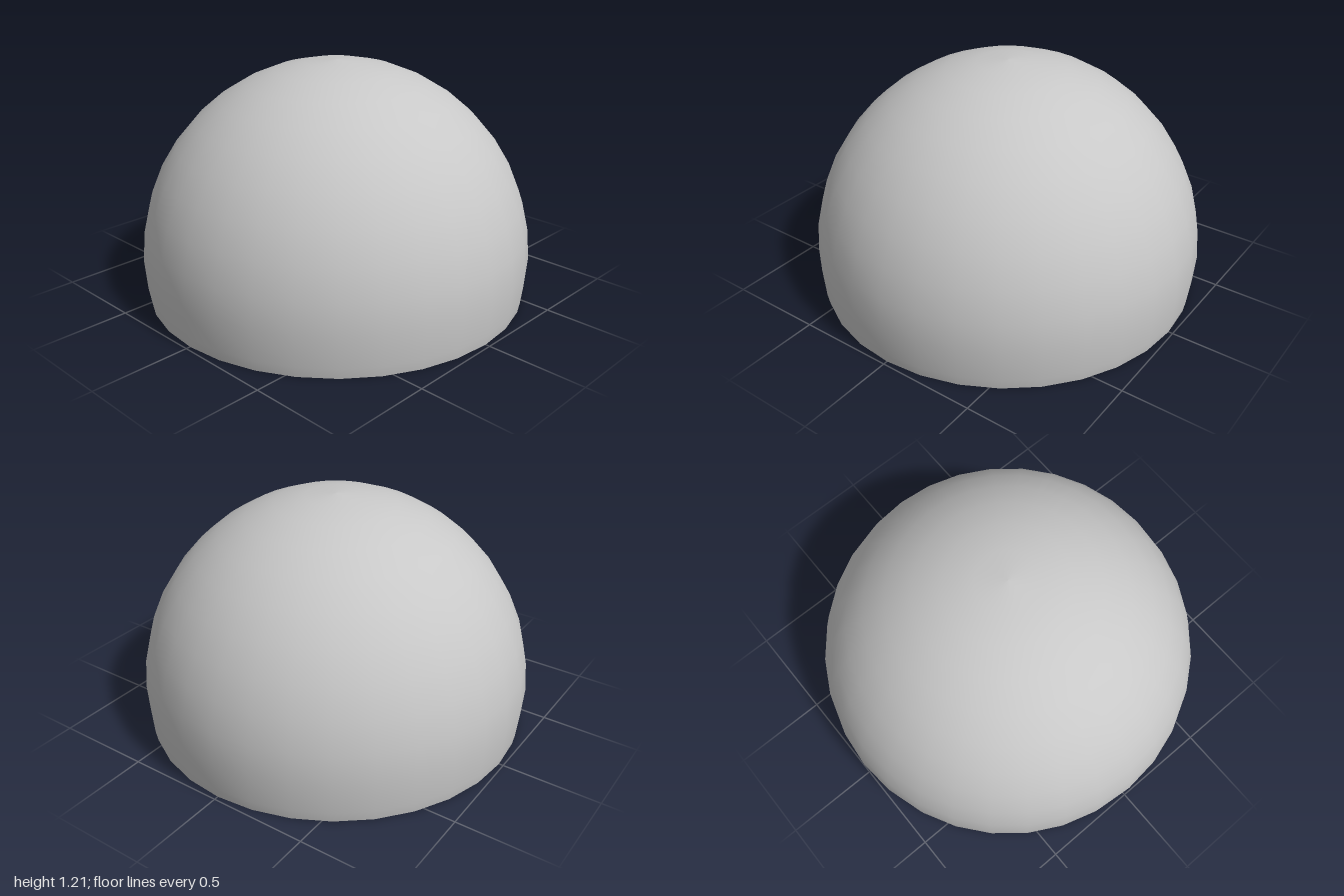
import * as THREE from 'three';

export function createModel() {
  const model = new THREE.Group();
  const shellMat = new THREE.MeshStandardMaterial({ color: 0xc8c8c8 });
  shellMat.name = 'shell grey';
  const townMat = new THREE.MeshStandardMaterial({ color: 0xc6c6c6, side: THREE.DoubleSide, flatShading: true });
  townMat.name = 'town grey';

  const FLOOR = 0.235, CENTRE = 0.21;

  const add = (name, geo, mat, x = 0, y = 0, z = 0, ry = 0, parent = model) => {
    const mesh = new THREE.Mesh(geo, mat);
    mesh.name = name;
    mesh.position.set(x, y, z);
    mesh.rotation.y = ry;
    parent.add(mesh);
    return mesh;
  };

  // Dome arc from the flat rim up to the pole, in nine degree steps
  const arc = (r) => {
    const pts = [new THREE.Vector2(Math.sqrt(r * r - CENTRE * CENTRE), 0)];
    for (let deg = 99; deg >= 0; deg -= 9) {
      const t = THREE.MathUtils.degToRad(deg);
      pts.push(new THREE.Vector2(Math.sin(t) * r, CENTRE + Math.cos(t) * r));
    }
    return pts;
  };
  const outer = arc(1), inner = arc(0.982);
  add('domeOutside', new THREE.LatheGeometry(outer, 32), shellMat);
  add('domeInside', new THREE.LatheGeometry([...inner].reverse(), 32), shellMat);
  add('domeRim', new THREE.LatheGeometry([inner[0], outer[0]], 32), shellMat);

  // Sloping ledge that surrounds the town
  add('ledge', new THREE.LatheGeometry(
    [new THREE.Vector2(0.91, 0.24), new THREE.Vector2(0.765, 0.265)], 32), townMat);

  // Street, square and paving plates
  const plate = (name, x0, x1, z0, z1, y = FLOOR) =>
    add(name, new THREE.BoxGeometry(x1 - x0, 0.008, z1 - z0), townMat, (x0 + x1) / 2, y, (z0 + z1) / 2);
  plate('street', -0.76, 0.72, -0.1, 0.08);
  plate('streetEnd', -0.84, -0.74, 0.02, 0.1);
  plate('square', -0.46, 0.54, 0.08, 0.4);
  plate('backPath', -0.03, 0.1, -0.27, -0.1);
  for (const z of [-0.05, 0.03]) plate('kerb', -0.74, 0.7, z - 0.004, z + 0.004, FLOOR - 0.006);
  for (let i = 0; i < 5; i++) {
    const x = -0.38 + i * 0.18;
    plate('pavingSlab', x, x + 0.12, 0.18, 0.3, FLOOR - 0.005);
  }

  // House: four walls with an open base, and a flat or pitched roof
  const house = (x, z, w, h, d, ry, pitched) => {
    const g = new THREE.Group();
    g.name = 'house';
    g.position.set(x, FLOOR, z);
    g.rotation.y = ry;
    model.add(g);
    for (const s of [-1, 1]) {
      add('sideWall', new THREE.PlaneGeometry(d, h), townMat, s * w / 2, h / 2, 0, s * Math.PI / 2, g);
      const shape = new THREE.Shape();
      shape.moveTo(-w / 2, 0);
      shape.lineTo(w / 2, 0);
      shape.lineTo(w / 2, h);
      if (pitched) shape.lineTo(0, h + w / 2);
      shape.lineTo(-w / 2, h);
      add('endWall', new THREE.ShapeGeometry(shape), townMat, 0, 0, s * d / 2, s > 0 ? 0 : Math.PI, g);
      if (pitched) {
        const roof = add('roofSlope', new THREE.PlaneGeometry(w * Math.SQRT1_2, d), townMat, s * w / 4, h + w / 4, 0, 0, g);
        roof.rotation.set(-Math.PI / 2, s * Math.PI / 4, 0);
      }
    }
    if (!pitched) {
      const roof = add('flatRoof', new THREE.PlaneGeometry(w, d), townMat, 0, h, 0, 0, g);
      roof.rotation.x = -Math.PI / 2;
    }
  };

  // Ring of houses around the town, leaving the street ends clear
  let seed = 7;
  const rnd = () => (seed = (seed * 16807) % 2147483647) / 2147483647;
  const count = 36;
  for (let i = 0; i < count; i++) {
    const a = (i / count) * Math.PI * 2;
    const r = 0.6 + rnd() * 0.08;
    const x = Math.cos(a) * r, z = Math.sin(a) * r;
    const w = 0.07 + rnd() * 0.03, h = 0.07 + rnd() * 0.07;
    if (z > -0.16 && z < 0.14) continue;
    house(x, z, w, h, w, i % 4 ? 0 : 0.4, i % 3 === 0);
  }
  // Houses nearer the street
  for (const [x, z] of [[0.37, -0.18], [0.25, -0.2], [-0.15, -0.24], [-0.5, -0.2]])
    house(x, z, 0.09, 0.1, 0.1, 0, true);

  // Round trees
  for (const [x, z] of [[0.6, 0.2], [0.2, 0.47], [-0.4, -0.33], [-0.2, -0.5], [0.45, -0.3]]) {
    add('treeTrunk', new THREE.CylinderGeometry(0.008, 0.008, 0.08, 6), townMat, x, FLOOR + 0.04, z);
    add('treeCrown', new THREE.SphereGeometry(0.035, 10, 8), townMat, x, FLOOR + 0.1, z);
  }

  // Lamp posts along the back of the street
  for (let i = 0; i < 4; i++)
    add('lampPost', new THREE.CylinderGeometry(0.005, 0.005, 0.14, 6), townMat, -0.1 + i * 0.09, FLOOR + 0.07, -0.13);

  return model;
}
